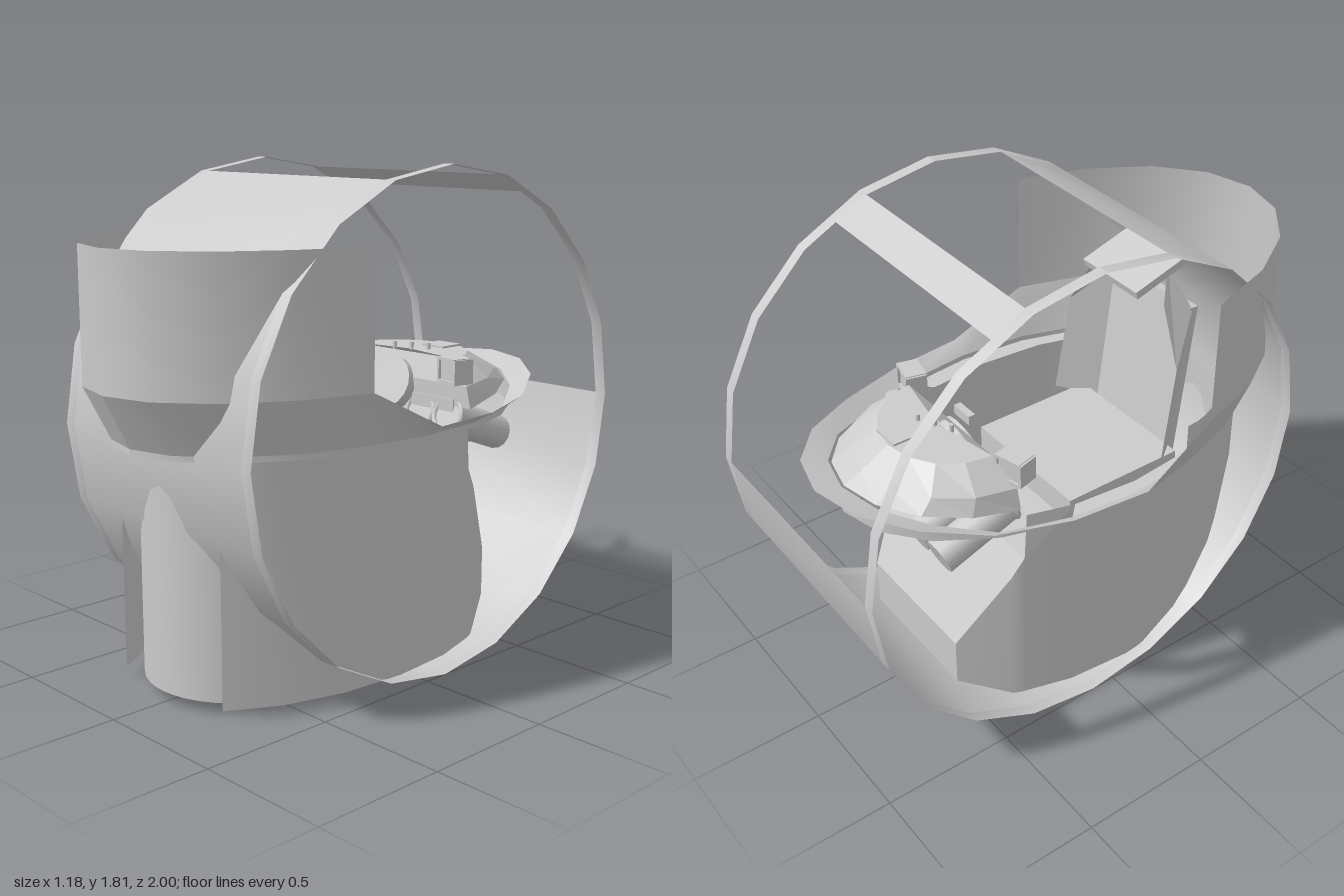
import * as THREE from 'three';

const grey = new THREE.MeshStandardMaterial({ color: 0xcccccc, side: THREE.DoubleSide });
const flat = new THREE.MeshStandardMaterial({ color: 0xcccccc, side: THREE.DoubleSide, flatShading: true });
const { lerp, mapLinear } = THREE.MathUtils;
const rad = (d) => d * Math.PI / 180;

// Surface stretched between equally long rows of [x, y, z] points
function sheet(rows) {
  const n = rows[0].length, index = [];
  for (let r = 0; r < rows.length - 1; r++) {
    for (let i = 0; i < n - 1; i++) {
      const a = r * n + i, b = a + n;
      index.push(a, b, a + 1, b, b + 1, a + 1);
    }
  }
  const g = new THREE.BufferGeometry();
  g.setAttribute('position', new THREE.Float32BufferAttribute(rows.flat(2), 3));
  g.setIndex(index);
  g.computeVertexNormals();
  return g;
}

// Closed half-section points of an oval, clockwise from the front, 18 degrees per step
function oval(a, b, cz, yOf, from = 0, to = 20) {
  const pts = [];
  for (let i = from; i <= to; i++) {
    const t = rad(i * 18), z = cz + b * Math.cos(t);
    pts.push([a * Math.sin(t), yOf(z), z]);
  }
  return pts;
}

export function createModel() {
  const model = new THREE.Group();
  const add = (name, geo, mat = grey, pos = [0, 0, 0], rot = [0, 0, 0]) => {
    const m = new THREE.Mesh(geo, mat);
    m.name = name;
    m.position.set(...pos);
    m.rotation.set(...rot);
    model.add(m);
    return m;
  };
  const box = (name, size, pos, rot) => add(name, new THREE.BoxGeometry(...size), flat, pos, rot);

  // Outer hoop: 20-sided drum lying across x, with two window openings
  const R = 0.906, CY = 0.906, CZ = -0.094;
  const arc = (x, angles) => angles.map((d) => {
    const r = d % 18 === 0 ? R : R * Math.cos(rad(9));
    return [x, CY + r * Math.cos(rad(d)), CZ + r * Math.sin(rad(d))];
  });
  const steps = (from, to) => Array.from({ length: (to - from) / 18 + 1 }, (_, i) => from + i * 18);
  const band = (name, x0, x1, angles) => add(name, sheet([arc(x0, angles), arc(x1, angles)]));
  band('hoopEdgeRight', -0.5, -0.455, steps(0, 360));
  band('hoopEdgeLeft', 0.455, 0.5, steps(0, 360));
  band('hoopShell', -0.455, 0.455, steps(18, 270));
  band('hoopCrossbar', -0.455, 0.455, [-27, -18]);

  // Rim around the cockpit
  const lipOuterY = (z) => z > 0.33 ? 1.1 : z > 0.05 ? mapLinear(z, 0.05, 0.34, 0.95, 1.1)
    : z > -0.45 ? 0.95 : mapLinear(z, -0.45, -0.91, 0.95, 1.03);
  const lipInnerY = (z) => z > -0.45 ? 0.91 : mapLinear(z, -0.45, -0.81, 0.91, 1.0);
  const inner = [0.53, 0.855, 0.045], outer = [0.59, 0.955, 0.045];
  const rimBottom = oval(...inner, () => 0.89);
  add('rimSkirt', sheet([rimBottom, oval(...inner, lipInnerY)]));
  add('rimLip', sheet([oval(...inner, lipInnerY), oval(...outer, lipOuterY)]));

  // Tall curved shield over the front end of the rim
  add('frontShield', sheet([oval(...outer, () => 1.1, -4, 4), oval(...outer, () => 1.57, -4, 4)]));

  // Lower tub walls, cut on a slant toward the back
  const plan = [[0.27, 0.75], [0.372, 0.572], [0.4375, 0.347], [0.46, 0.0975],
    [0.4375, -0.152], [0.386, -0.33], [0.372, -0.377], [0.27, -0.555]];
  const topY = (z) => z >= -0.32 ? 0.89 : mapLinear(z, -0.33, -0.555, 0.7, 0.325);
  for (const s of [1, -1]) {
    const wall = plan.map(([x, z]) => [s * x, 0.04, z]);
    const top = plan.map(([x, z]) => [s * x, topY(z), z]);
    add(s > 0 ? 'tubWallLeft' : 'tubWallRight', sheet([wall, top]));
    add('tubShelf', sheet([
      plan.slice(0, 5).map(([x, z]) => [s * x, 0.89, z]),
      oval(...inner, () => 0.89, 2, 6).map(([x, y, z]) => [s * x, y, z]),
    ]), flat);
    // Upper corner of the wall beside the dashboard
    add('tubWallCorner', sheet([
      [[s * 0.4375, 0.89, -0.152], [s * 0.386, 0.89, -0.32]],
      [[s * 0.386, 0.7, -0.33], [s * 0.386, 0.7, -0.33]],
    ]), flat);
  }
  const across = (x, y, z) => [[-x, y, z], [x, y, z]];
  add('tubBack', sheet([across(0.27, 0.04, -0.555), across(0.27, 0.325, -0.555),
    across(0.372, 0.622, -0.377), across(0.386, 0.7, -0.33)]), flat);

  // Round nose between the front edges of the tub
  add('tubNose', new THREE.CylinderGeometry(0.33, 0.33, 0.85, 20, 1, true, -Math.PI / 2, Math.PI),
    grey, [0, 0.465, 0.46]);

  // Cockpit floor and seat
  box('cockpitFloor', [0.76, 0.02, 0.7], [0, 0.55, 0.09]);
  box('seatCushion', [0.56, 0.1, 0.5], [0, 0.7, 0.2]);
  box('seatBack', [0.42, 0.62, 0.04], [0, 1.0, 0.52], [0.12, 0, 0]);
  for (const s of [1, -1]) {
    add('seatWing', sheet([
      [[s * 0.21, 0.72, 0.48], [s * 0.21, 1.3, 0.55], [s * 0.12, 1.47, 0.5]],
      [[s * 0.32, 0.76, 0.34], [s * 0.31, 1.15, 0.4], [s * 0.2, 1.36, 0.42]],
    ]), flat);
  }
  box('headrest', [0.3, 0.03, 0.24], [0, 1.44, 0.45], [-0.3, 0, 0]);

  // Dashboard hood: half ovals stacked and shrinking upward
  const half = (a, b, z0, y, slope) => Array.from({ length: 9 }, (_, i) => {
    const t = Math.PI * i / 8;
    return [a * Math.cos(t), y + slope * Math.sin(t), z0 - b * Math.sin(t)];
  });
  const hood = [half(0.38, 0.46, -0.34, 0.92, 0.08), half(0.36, 0.39, -0.34, 1.0, 0.03),
    half(0.26, 0.25, -0.37, 1.09, 0), half(0, 0, -0.42, 1.09, 0)];
  add('dashboardHood', sheet(hood), flat);
  add('dashboardFace', sheet([
    [[-0.38, 0.92, -0.34], [-0.36, 1.0, -0.34], [-0.26, 1.09, -0.37]],
    [[0.38, 0.92, -0.34], [0.36, 1.0, -0.34], [0.26, 1.09, -0.37]],
  ]), flat);
  box('dashboardLowerFace', [0.6, 0.13, 0.03], [0, 0.88, -0.35]);

  // Instrument barrels slanting down behind the dashboard
  const tilt = Math.PI / 2 - 0.35;
  for (const x of [-0.28, -0.14, 0.14, 0.28]) {
    add('instrumentBarrel', new THREE.CylinderGeometry(0.065, 0.065, 0.3, 14), grey, [x, 0.83, -0.47], [tilt, 0, 0]);
    add('dialRing', new THREE.TorusGeometry(0.065, 0.01, 6, 16), grey, [x, 0.885, -0.33], [-0.35, 0, 0]);
  }
  add('centreDial', new THREE.CylinderGeometry(0.1, 0.1, 0.05, 16), grey, [0, 0.97, -0.33], [tilt, 0, 0]);

  // Two small screens with raised frames
  for (const s of [1, -1]) {
    const screen = new THREE.Group();
    screen.name = s > 0 ? 'screenLeft' : 'screenRight';
    const part = (w, h, d, x, y, z) => {
      const m = new THREE.Mesh(new THREE.BoxGeometry(w, h, d), flat);
      m.position.set(x, y, z);
      screen.add(m);
    };
    part(0.1, 0.08, 0.06, 0, 0, 0);
    for (const k of [1, -1]) {
      part(0.012, 0.09, 0.08, k * 0.052, 0, 0);
      part(0.1, 0.012, 0.08, 0, k * 0.042, 0);
    }
    screen.position.set(s * 0.32, 1.06, -0.32);
    screen.rotation.y = -s * 0.25;
    model.add(screen);
  }

  // Switches on top of the hood
  for (let i = 0; i < 3; i++) {
    add('switch', new THREE.CylinderGeometry(0.008, 0.008, 0.03, 8), grey, [lerp(-0.06, 0.06, i / 2), 1.1, -0.4 - i * 0.03]);
  }
  add('hoodKnob', new THREE.CylinderGeometry(0.035, 0.045, 0.04, 12), grey, [0.26, 1.05, -0.43]);
  box('hoodPanel', [0.11, 0.015, 0.1], [0.035, 1.09, -0.56]);
  box('sideLever', [0.1, 0.04, 0.03], [0.33, 0.8, -0.09]);

  return model;
}
